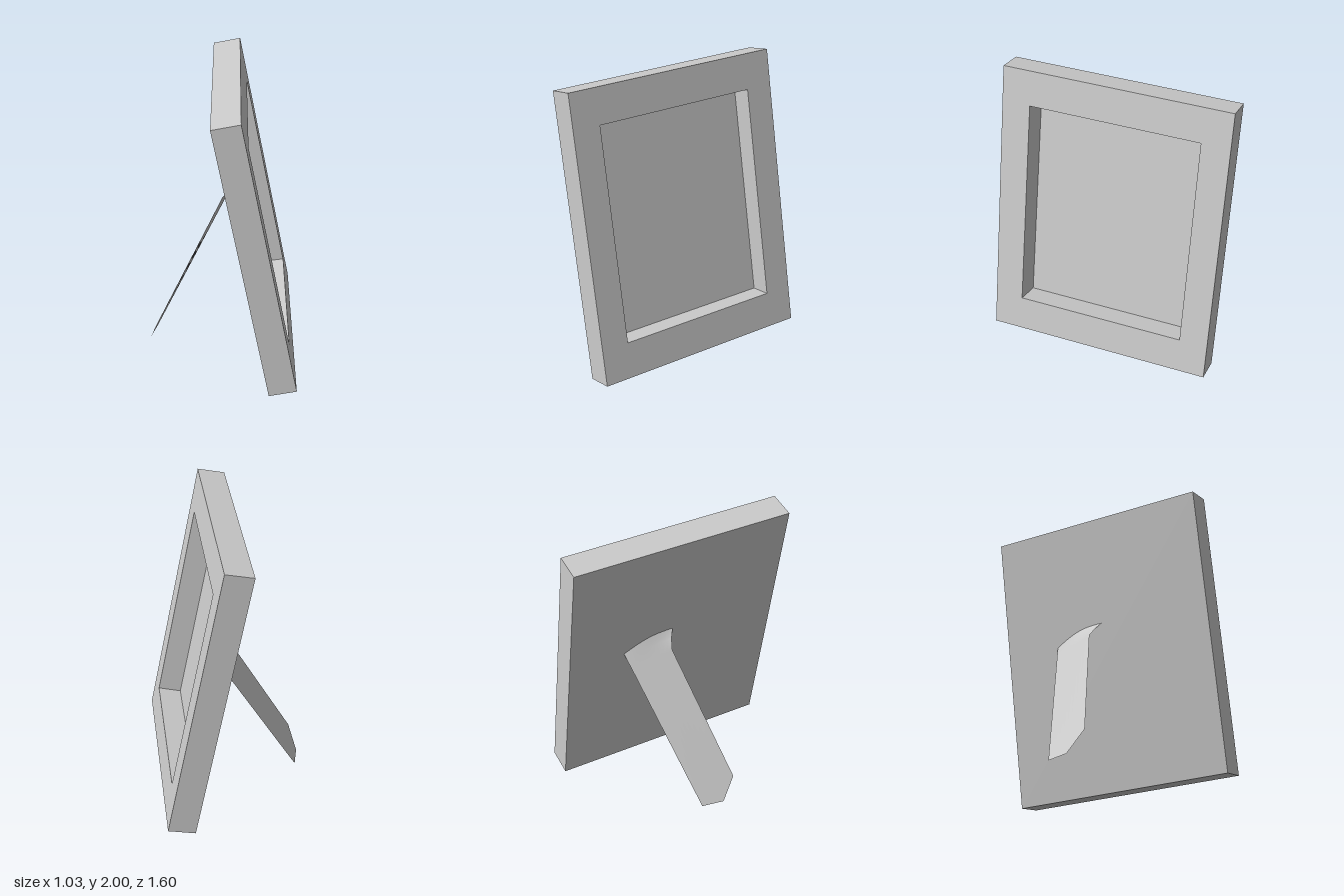
import * as THREE from 'three';

const WIDTH = 1.6, HEIGHT = 1.993, DEPTH = 0.193, PANEL = 0.028, TILT = 0.197;

const rectangle = (Path, x, y0, y1) => new Path([
  new THREE.Vector2(-x, y0), new THREE.Vector2(x, y0),
  new THREE.Vector2(x, y1), new THREE.Vector2(-x, y1),
]);

// Border with an opening whose side walls lean slightly sideways
function borderGeometry() {
  const shape = rectangle(THREE.Shape, WIDTH / 2, 0, HEIGHT);
  shape.holes.push(rectangle(THREE.Path, 0.6, 0.25, 1.745));
  const geometry = new THREE.ExtrudeGeometry(shape, { depth: DEPTH - PANEL, bevelEnabled: false });
  const p = geometry.attributes.position;
  for (let i = 0; i < p.count; i++) {
    if (Math.abs(p.getX(i)) < 0.7 && p.getZ(i) < 0.01) p.setX(i, p.getX(i) + 0.0125);
  }
  geometry.computeVertexNormals();
  return geometry;
}

// Thin strip: cross-sections from the clipped foot up to the arched head
function legGeometry() {
  const sections = [
    { a: [-0.48, 0, -0.09], b: [-0.517, 0.008, 0.065], arch: 0 },
    { a: [-0.39, 0.167, -0.136], b: [-0.47, 0.17, 0.17], arch: 0 },
    { a: [0.055, 0.998, -0.362], b: [0.003, 1.08, -0.067], arch: 0 },
    { a: [0.084, 1.05, -0.377], b: [0.05, 1.145, -0.047], arch: 0.012 },
    { a: [0.112, 1.1, -0.39], b: [0.09, 1.2, -0.015], arch: 0.035 },
  ];
  const COLS = 10, points = [], index = [];
  sections.forEach(({ a, b, arch }, row) => {
    const start = new THREE.Vector3(...a), end = new THREE.Vector3(...b);
    for (let i = 0; i <= COLS; i++) {
      const t = i / COLS, lift = arch * Math.sin(Math.PI * t);
      const v = start.clone().lerp(end, t);
      points.push(v.x - 0.2 * lift, v.y + 0.98 * lift, v.z);
      if (row && i) {
        const k = row * (COLS + 1) + i, below = k - COLS - 1;
        index.push(below - 1, below, k, below - 1, k, k - 1);
      }
    }
  });
  const geometry = new THREE.BufferGeometry();
  geometry.setAttribute('position', new THREE.Float32BufferAttribute(points, 3));
  geometry.setIndex(index);
  geometry.computeVertexNormals();
  return geometry;
}

export function createModel() {
  const model = new THREE.Group();
  model.name = 'pictureFrame';
  const material = new THREE.MeshStandardMaterial({ color: 0xcccccc });
  const add = (parent, name, geometry, mat = material) => {
    const mesh = new THREE.Mesh(geometry, mat);
    mesh.name = name;
    parent.add(mesh);
    return mesh;
  };

  // Leaning frame, its opening facing +x
  const frame = new THREE.Group();
  frame.name = 'frame';
  frame.rotation.set(0, Math.PI / 2, TILT, 'ZYX');
  frame.position.set(0.325, 0.008, 0);
  model.add(frame);
  add(frame, 'border', borderGeometry()).position.z = PANEL;
  add(frame, 'backPanel', new THREE.BoxGeometry(WIDTH, HEIGHT, PANEL)).position.set(0, HEIGHT / 2, PANEL / 2);

  // Support leg behind the frame
  const thin = material.clone();
  thin.side = THREE.DoubleSide;
  add(model, 'supportLeg', legGeometry(), thin);
  return model;
}
